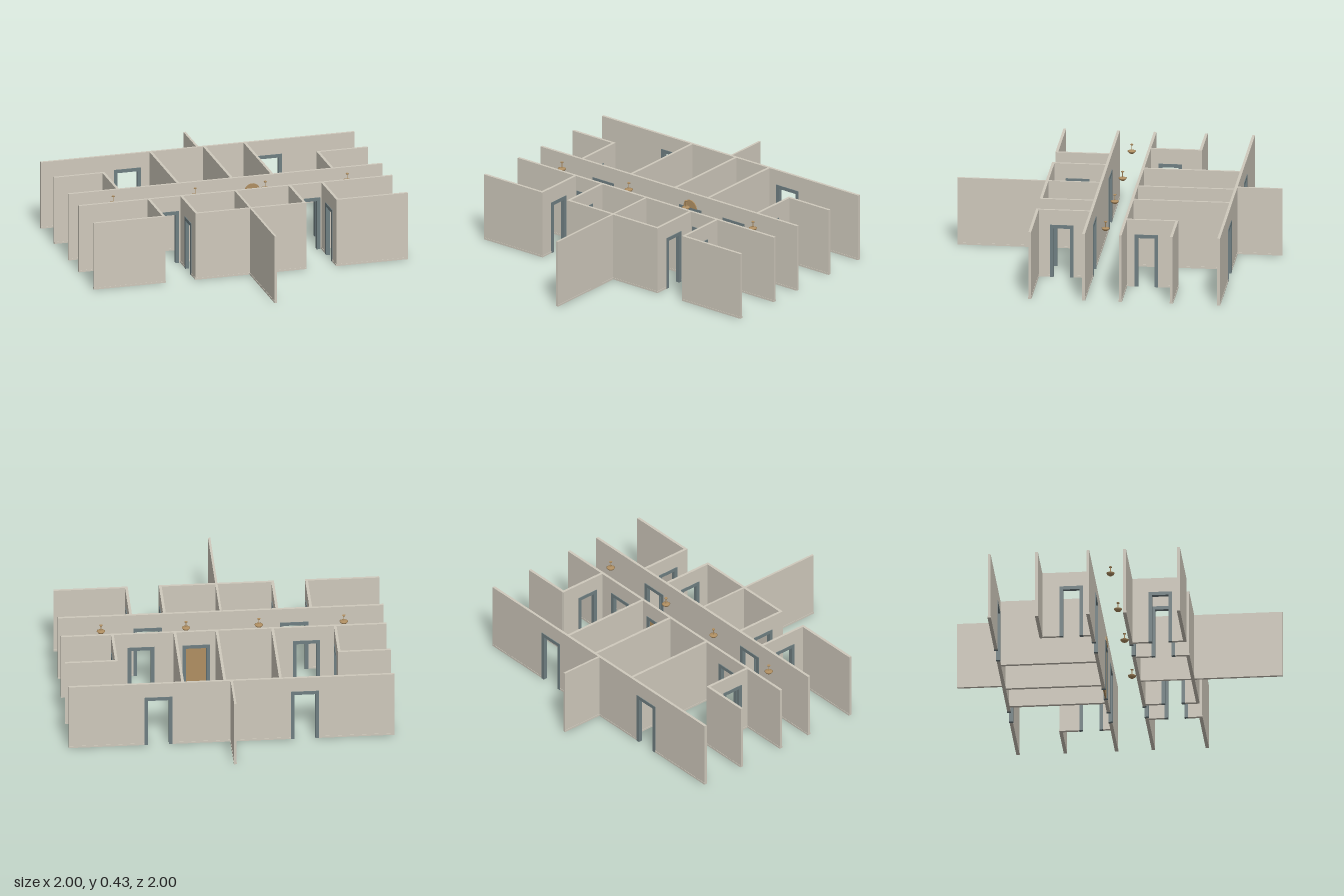
import * as THREE from 'three';

const H = 0.43;        // wall height
const T = 0.017;       // wall thickness
const DOOR_H = 0.335;  // outer height of a door frame
const JAMB = 0.022;    // frame width

export function createModel() {
  const root = new THREE.Group();
  root.name = 'floorPlan';

  const plaster = new THREE.MeshStandardMaterial({ color: 0xcfc9bc });
  plaster.name = 'plaster';
  const frameGrey = new THREE.MeshStandardMaterial({ color: 0x6f7f82 });
  frameGrey.name = 'frameGrey';
  const bronze = new THREE.MeshStandardMaterial({ color: 0xb08f62 });
  bronze.name = 'bronze';

  function add(parent, name, geo, mat, x = 0, y = 0, z = 0) {
    const m = new THREE.Mesh(geo, mat);
    m.name = name;
    m.position.set(x, y, z);
    parent.add(m);
    return m;
  }

  // A wall running from a to b, with door gaps given as [start, end]
  function wall(name, axis, at, a, b, doors = [], t = T) {
    const g = new THREE.Group();
    g.name = name;
    const s = new THREE.Shape();
    s.moveTo(a, 0);
    let start = a;
    const skirting = (u0, u1) =>
      add(g, 'skirting', new THREE.BoxGeometry(u1 - u0, 0.012, t + 0.004), plaster, (u0 + u1) / 2, 0.006, 0);
    for (const [d0, d1] of doors) {
      s.lineTo(d0, 0);
      s.lineTo(d0, DOOR_H);
      s.lineTo(d1, DOOR_H);
      s.lineTo(d1, 0);
      skirting(start, d0);
      start = d1;
      doorFrame(g, d0, d1, t + 0.008);
    }
    skirting(start, b);
    s.lineTo(b, 0);
    s.lineTo(b, H);
    s.lineTo(a, H);
    s.closePath();
    const geo = new THREE.ExtrudeGeometry(s, { depth: t, bevelEnabled: false });
    geo.translate(0, 0, -t / 2);
    add(g, 'wallPanel', geo, plaster);
    if (axis === 'x') {
      g.position.z = at;
    } else {
      g.rotation.y = -Math.PI / 2;
      g.position.x = at;
    }
    root.add(g);
    return g;
  }

  // Two jambs and a head around a door gap
  function doorFrame(g, d0, d1, depth) {
    const s = new THREE.Shape();
    const pts = [[d0, 0], [d0 + JAMB, 0], [d0 + JAMB, DOOR_H - JAMB], [d1 - JAMB, DOOR_H - JAMB],
      [d1 - JAMB, 0], [d1, 0], [d1, DOOR_H], [d0, DOOR_H]];
    s.setFromPoints(pts.map(([x, y]) => new THREE.Vector2(x, y)));
    const geo = new THREE.ExtrudeGeometry(s, { depth, bevelEnabled: false });
    geo.translate(0, 0, -depth / 2);
    add(g, 'doorFrame', geo, frameGrey);
  }

  // Long walls across the plan
  wall('backWall', 'x', -0.715, -1, 1, [[-0.535, -0.363], [0.363, 0.535]]);
  const hall = wall('corridorBackWall', 'x', -0.109, -1, 1,
    [[-0.59, -0.425], [0.085, 0.255], [0.425, 0.59]]);
  wall('corridorFrontWall', 'x', 0.117, -1, 1, [[-0.537, -0.363], [0.363, 0.537]]);
  wall('frontCentreWall', 'x', 0.448, -0.353, 0.353);

  // Mirrored short walls
  for (const s of [-1, 1]) {
    const span = (p, q) => (s > 0 ? [p, q] : [-q, -p]);
    wall('frontSideWall', 'x', 0.448, ...span(0.545, 1));
    wall('backSideWall', 'x', -0.424, ...span(0.68, 1));
    wall('alcoveOuterWall', 'z', s * 0.553, 0.117, 0.456, [[0.225, 0.37]]);
    wall('alcoveInnerWall', 'z', s * 0.345, 0.117, 0.456, [[0.225, 0.37]]);
    wall('backRoomWall', 'z', s * 0.684, -0.432, -0.109, [[-0.31, -0.165]]);
    wall('backPartition', 'z', s * 0.3, -0.715, -0.109);
  }
  wall('centrePartition', 'z', 0.042, -0.715, -0.109);
  wall('backSpineWall', 'z', 0, -1, -0.715, [], 0.014);
  wall('frontSpineWall', 'z', 0, 0.117, 1, [], 0.014);

  // Closed double door with an arched ornament above it
  for (const s of [-1, 1]) {
    add(hall, 'doorLeaf', new THREE.BoxGeometry(0.062, DOOR_H - JAMB, 0.01),
      bronze, 0.17 + s * 0.0315, (DOOR_H - JAMB) / 2, 0);
  }
  const arch = new THREE.Shape();
  arch.absarc(0, 0, 0.05, 0, Math.PI);
  arch.closePath();
  add(hall, 'doorOrnament', new THREE.ExtrudeGeometry(arch, { depth: 0.006, bevelEnabled: false, curveSegments: 12 }),
    bronze, 0.17, DOOR_H, T / 2);

  // Pendant lamps along the corridor
  const shade = [[0, 0.37], [0.01, 0.371], [0.019, 0.377], [0.026, 0.387], [0.022, 0.388], [0.004, 0.392], [0, 0.392]]
    .map(([r, y]) => new THREE.Vector2(r, y));
  for (const x of [-0.747, -0.225, 0.222, 0.744]) {
    const lamp = new THREE.Group();
    lamp.name = 'pendantLamp';
    lamp.position.set(x, 0, 0.008);
    add(lamp, 'lampShade', new THREE.LatheGeometry(shade, 20), bronze);
    add(lamp, 'lampRod', new THREE.CylinderGeometry(0.0025, 0.0025, 0.04, 8), bronze, 0, 0.408, 0);
    add(lamp, 'lampCap', new THREE.CylinderGeometry(0.01, 0.008, 0.005, 16), bronze, 0, 0.4275, 0);
    root.add(lamp);
  }

  return root;
}
